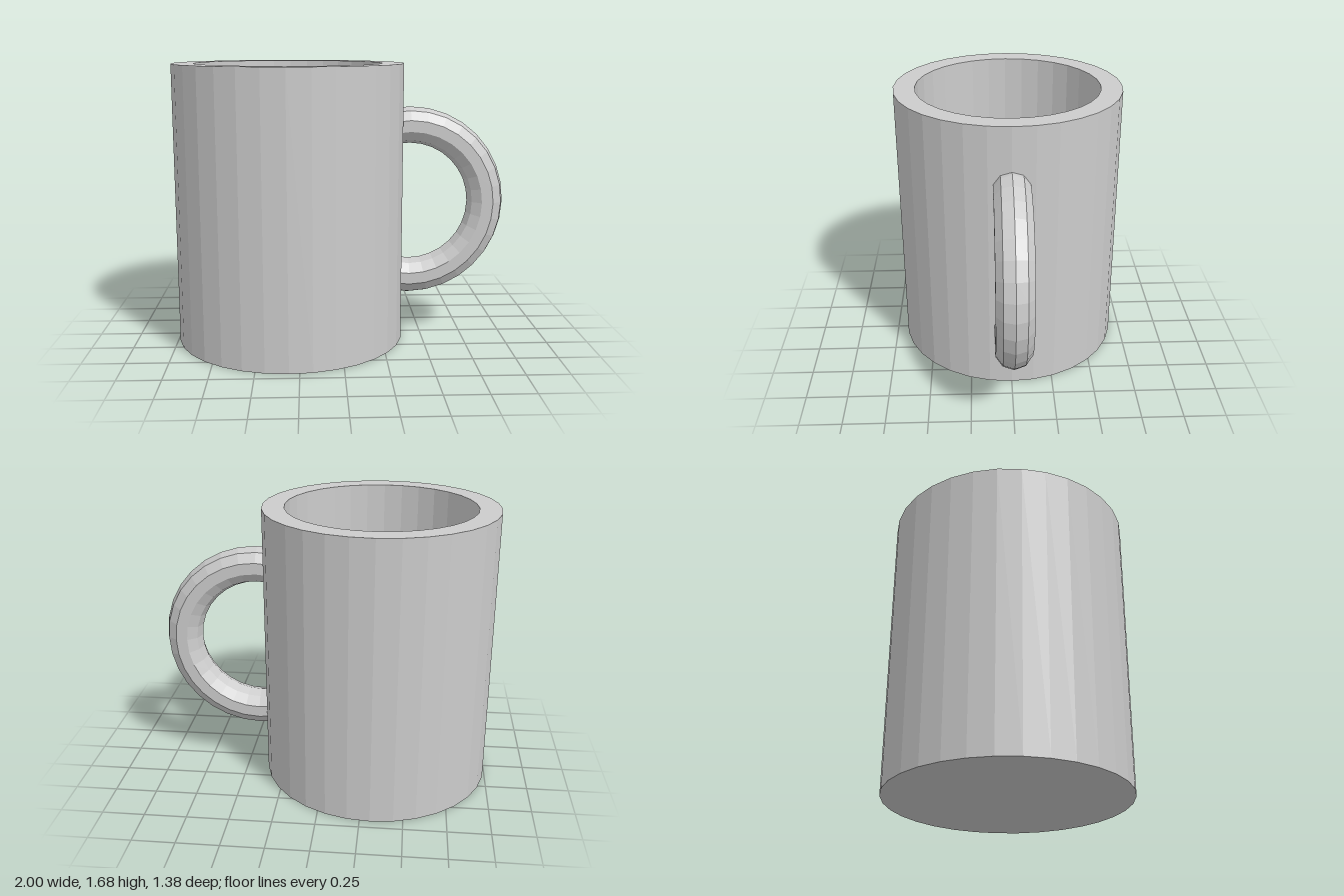
import * as THREE from 'three';

export function createModel() {
  const model = new THREE.Group();
  model.name = 'mug';

  const grey = new THREE.MeshStandardMaterial({ color: 0xcccccc, flatShading: true });
  grey.name = 'grey';

  // Hollow body: underside, outer wall, rim, inner wall, floor
  const outer = 0.69, inner = 0.56, height = 1.68, floor = 0.13;
  const profile = [
    [0, 0], [outer, 0], [outer, height], [inner, height], [inner, floor], [0, floor],
  ].map(([x, y]) => new THREE.Vector2(x, y));
  const body = new THREE.Mesh(new THREE.LatheGeometry(profile, 32), grey);
  body.name = 'body';
  body.position.x = -0.31;
  model.add(body);

  // Handle: a full ring that passes through the wall into the cup
  const handle = new THREE.Mesh(new THREE.TorusGeometry(0.47, 0.11, 10, 32), grey);
  handle.name = 'handle';
  handle.position.set(0.42, height / 2, 0);
  model.add(handle);

  return model;
}
